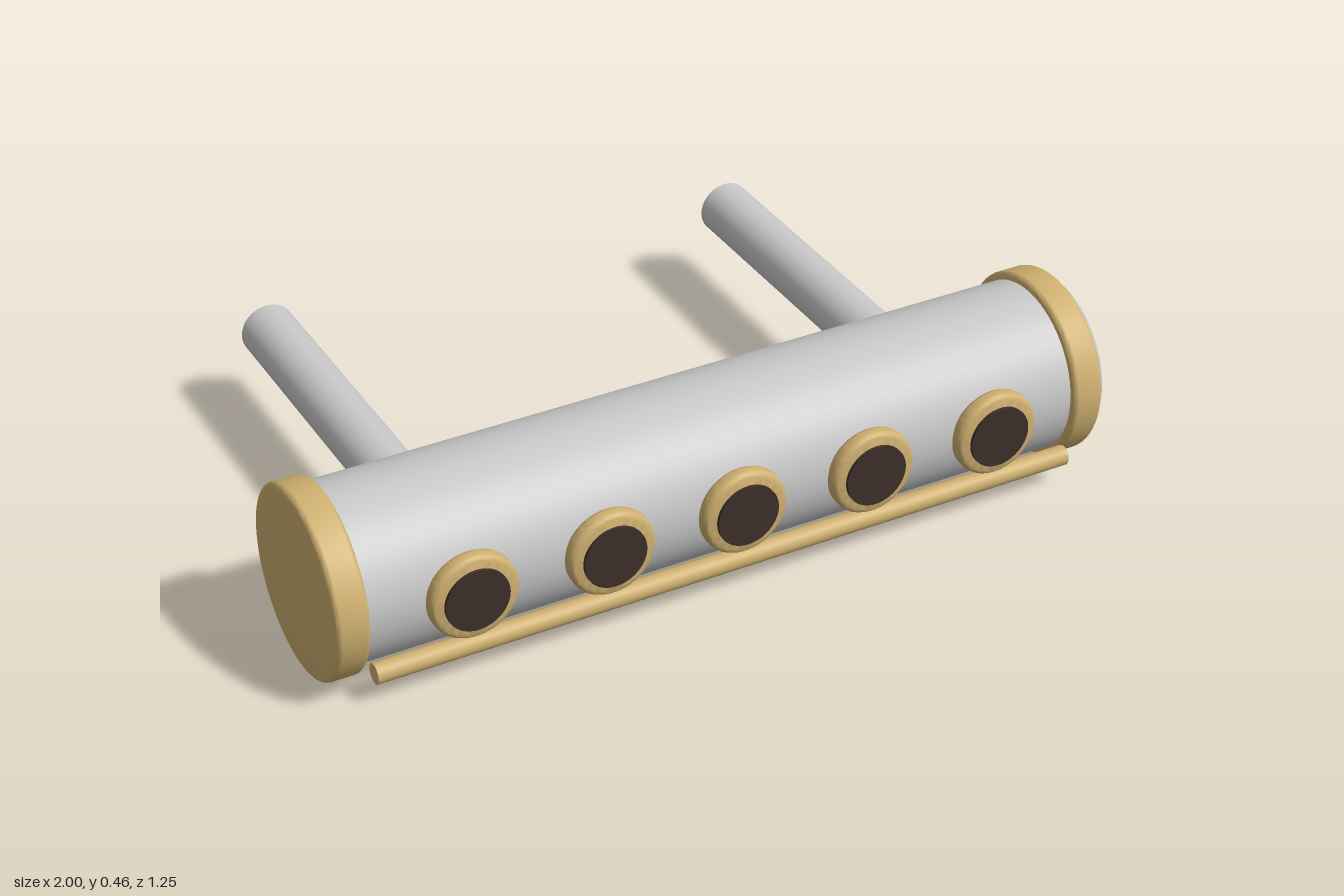
import * as THREE from 'three';
import { toCreasedNormals } from 'three/addons/utils/BufferGeometryUtils.js';

const mat = (name, color) => {
  const m = new THREE.MeshStandardMaterial({ color });
  m.name = name;
  return m;
};

// Turned part from [radius, height] pairs running bottom to top
function turned(points, segments = 64, crease = 0.6) {
  const profile = points.map(([r, h]) => new THREE.Vector2(r, h));
  return toCreasedNormals(new THREE.LatheGeometry(profile, segments), crease);
}

// Closed disc with rounded edges, from height a to b
function roundedDisc(radius, a, b, bevel) {
  const pts = [[0, a]];
  for (let i = 0; i <= 4; i++) {
    const t = (i / 4) * Math.PI / 2;
    pts.push([radius - bevel + bevel * Math.sin(t), a + bevel - bevel * Math.cos(t)]);
  }
  for (let i = 0; i <= 4; i++) {
    const t = (i / 4) * Math.PI / 2;
    pts.push([radius - bevel + bevel * Math.cos(t), b - bevel + bevel * Math.sin(t)]);
  }
  pts.push([0, b]);
  return turned(pts);
}

export function createModel() {
  const silver = mat('silver', 0xc8c8c8);
  const gold = mat('gold', 0xcfb070);
  const dark = mat('dark brown', 0x3d2f2a);
  const group = new THREE.Group();
  const Y = 0.231, Z = 0.373;

  const add = (name, geometry, material, x, y, z) => {
    const mesh = new THREE.Mesh(geometry, material);
    mesh.name = name;
    mesh.position.set(x, y, z);
    group.add(mesh);
  };
  const alongX = (g) => g.rotateZ(-Math.PI / 2);
  const alongZ = (g) => g.rotateX(Math.PI / 2);

  // Main tube and its end bands
  add('body', alongX(new THREE.CylinderGeometry(0.21, 0.21, 1.92, 64)), silver, 0.01, Y, Z);
  add('rightEndCap', alongX(roundedDisc(0.229, -1, -0.92, 0.012)), gold, 0, Y, Z);
  add('leftEndBand', alongX(roundedDisc(0.229, 0.9, 0.98, 0.012)), gold, 0, Y, Z);

  // Rounded lip around the open end, with its inset disc
  const lip = [[0.21, 0.96], [0.21, 0.985], [0.204, 0.995], [0.185, 1], [0.168, 0.996], [0.16, 0.982], [0.16, 0.96]];
  add('endLip', alongX(turned(lip, 64, 1.2)), silver, 0, Y, Z);
  add('endDisc', alongX(new THREE.CylinderGeometry(0.161, 0.161, 0.03, 64)), gold, 0.975, Y, Z);

  // Row of round ports on the front
  for (let i = -2; i <= 2; i++) {
    const x = i * 0.338;
    add('portRim', alongZ(roundedDisc(0.108, 0.57, 0.614, 0.016)), gold, x, 0.234, 0);
    add('portCentre', alongZ(new THREE.CylinderGeometry(0.078, 0.078, 0.04, 48)), dark, x, 0.234, 0.602);
  }

  // Thin trim rod below the ports
  add('trimRod', alongX(new THREE.CylinderGeometry(0.025, 0.025, 1.81, 24)), gold, 0, 0.079, 0.565);

  // Two mounting posts at the back
  for (const x of [-0.645, 0.645]) {
    add('mountingPost', alongZ(new THREE.CylinderGeometry(0.069, 0.069, 0.84, 40)), silver, x, 0.232, -0.205);
  }
  return group;
}
